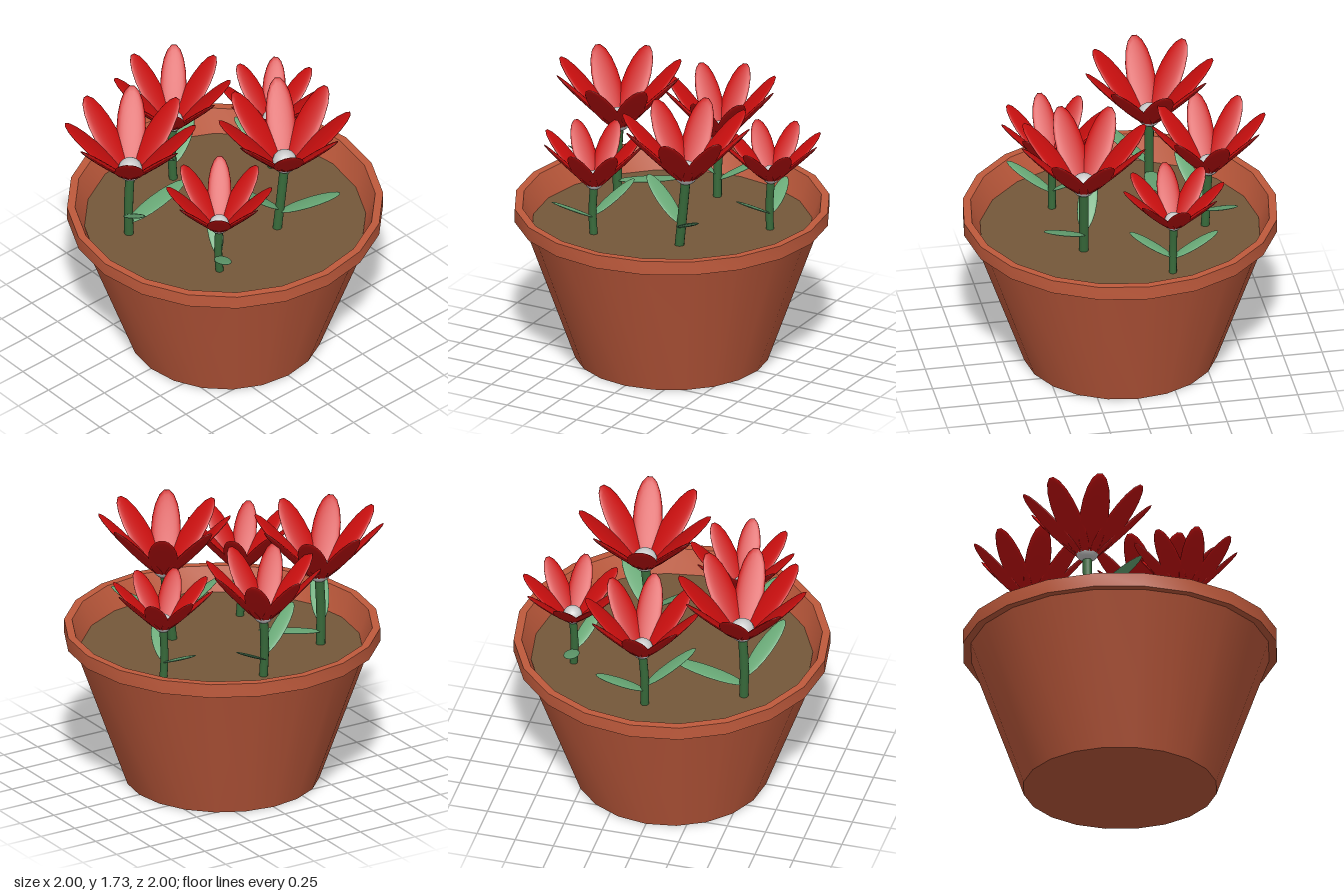
import * as THREE from 'three';
import { toCreasedNormals } from 'three/addons/utils/BufferGeometryUtils.js';

const mat = (color, side = THREE.FrontSide) => new THREE.MeshStandardMaterial({ color, side });
const clay = mat(0xbf5a3c, THREE.DoubleSide);
const earth = mat(0x75583a);
const red = mat(0xc80e0e);
const stemGreen = mat(0x37693a);
const leafGreen = mat(0x68a876);
const grey = mat(0xcccccc);

const ball = new THREE.SphereGeometry(1, 18, 12);
const v = (x, y, z) => new THREE.Vector3(x, y, z);

function add(parent, name, geometry, material) {
  const mesh = new THREE.Mesh(geometry, material);
  mesh.name = name;
  parent.add(mesh);
  return mesh;
}

// Flattened ellipsoid spanning two points, its width kept horizontal
function blade(parent, name, from, to, halfWidth, halfThick, material) {
  const mesh = add(parent, name, ball, material);
  const along = to.clone().sub(from);
  const length = along.length();
  along.normalize();
  const across = v(0, 1, 0).cross(along).normalize();
  const normal = along.clone().cross(across).normalize();
  mesh.quaternion.setFromRotationMatrix(new THREE.Matrix4().makeBasis(across, normal, along));
  mesh.scale.set(halfWidth, halfThick, length / 2);
  mesh.position.copy(from).add(to).multiplyScalar(0.5);
}

// foot: stem base x,z; head: x,y,z where the petals meet; reach: petal spread; rise: petal height
function flower({ foot, head, reach, rise, turn, leaves }) {
  const group = new THREE.Group();
  group.name = 'flower';
  const top = v(...head);
  const base = v(foot[0], 0.86, foot[1]);
  const size = reach / 0.42;

  // Slightly bent stem
  const bend = v((base.x + top.x * 2) / 3 - 0.01, (base.y + top.y) / 2, (base.z + top.z) / 2);
  const path = new THREE.CatmullRomCurve3([base, bend, top.clone().add(v(0, 0.03, 0))]);
  add(group, 'stem', new THREE.TubeGeometry(path, 10, 0.03 * size ** 0.7, 12), stemGreen);

  // Ring of eight raised petals
  for (let i = 0; i < 8; i++) {
    const a = THREE.MathUtils.degToRad(turn + i * 45);
    const at = (r, y) => v(top.x + r * Math.cos(a), top.y + y, top.z - r * Math.sin(a));
    blade(group, 'petal', at(0.025 * size, 0), at(reach, rise), 0.094 * size, 0.017 * size, red);
  }

  // Round centre
  const centre = add(group, 'flowerCentre', ball, grey);
  centre.scale.setScalar(0.078 * size);
  centre.position.copy(top).add(v(0, 0.06 * size, 0));

  // Pair of leaves growing from the stem
  for (const tip of leaves) {
    const root = path.getPoint(0.3);
    root.y = 0.99 + (tip[1] - 1.15) * 0.3;
    blade(group, 'leaf', root, v(...tip), 0.062 * size, 0.009, leafGreen);
  }
  return group;
}

export function createModel() {
  const model = new THREE.Group();

  // Tapered pot with a lip and a sloping inner wall
  const profile = [
    [0, 0], [0.615, 0], [0.95, 0.945], [1, 0.945], [1, 1.035], [0.95, 1.035], [0.885, 0.86],
  ].map(([r, y]) => new THREE.Vector2(r, y));
  add(model, 'pot', toCreasedNormals(new THREE.LatheGeometry(profile, 20), 0.6), clay);

  // Soil disc
  const soil = add(model, 'soil', new THREE.CircleGeometry(0.89, 20), earth);
  soil.rotation.x = -Math.PI / 2;
  soil.position.y = 0.88;

  const flowers = [
    { foot: [-0.55, -0.29], head: [-0.54, 1.325, -0.29], reach: 0.415, rise: 0.41, turn: 3,
      leaves: [[-0.73, 1.28, 0.03], [-0.09, 1.07, -0.29]] },
    { foot: [0.03, -0.54], head: [0.04, 1.265, -0.56], reach: 0.37, rise: 0.38, turn: 3,
      leaves: [[0.31, 1.15, -0.69], [-0.27, 1.27, -0.41]] },
    { foot: [0.58, -0.23], head: [0.585, 1.205, -0.235], reach: 0.325, rise: 0.295, turn: 0,
      leaves: [[0.48, 1.14, 0.03], [0.53, 1.12, -0.53]] },
    { foot: [0.2, 0.27], head: [0.255, 1.325, 0.28], reach: 0.42, rise: 0.41, turn: 11,
      leaves: [[0.47, 1.19, 0.57], [-0.08, 1.27, 0.17]] },
    { foot: [-0.36, 0.37], head: [-0.36, 1.195, 0.365], reach: 0.335, rise: 0.335, turn: 4,
      leaves: [[-0.52, 1.155, 0.63], [-0.21, 1.19, 0.11]] },
  ];
  for (const f of flowers) model.add(flower(f));

  return model;
}
